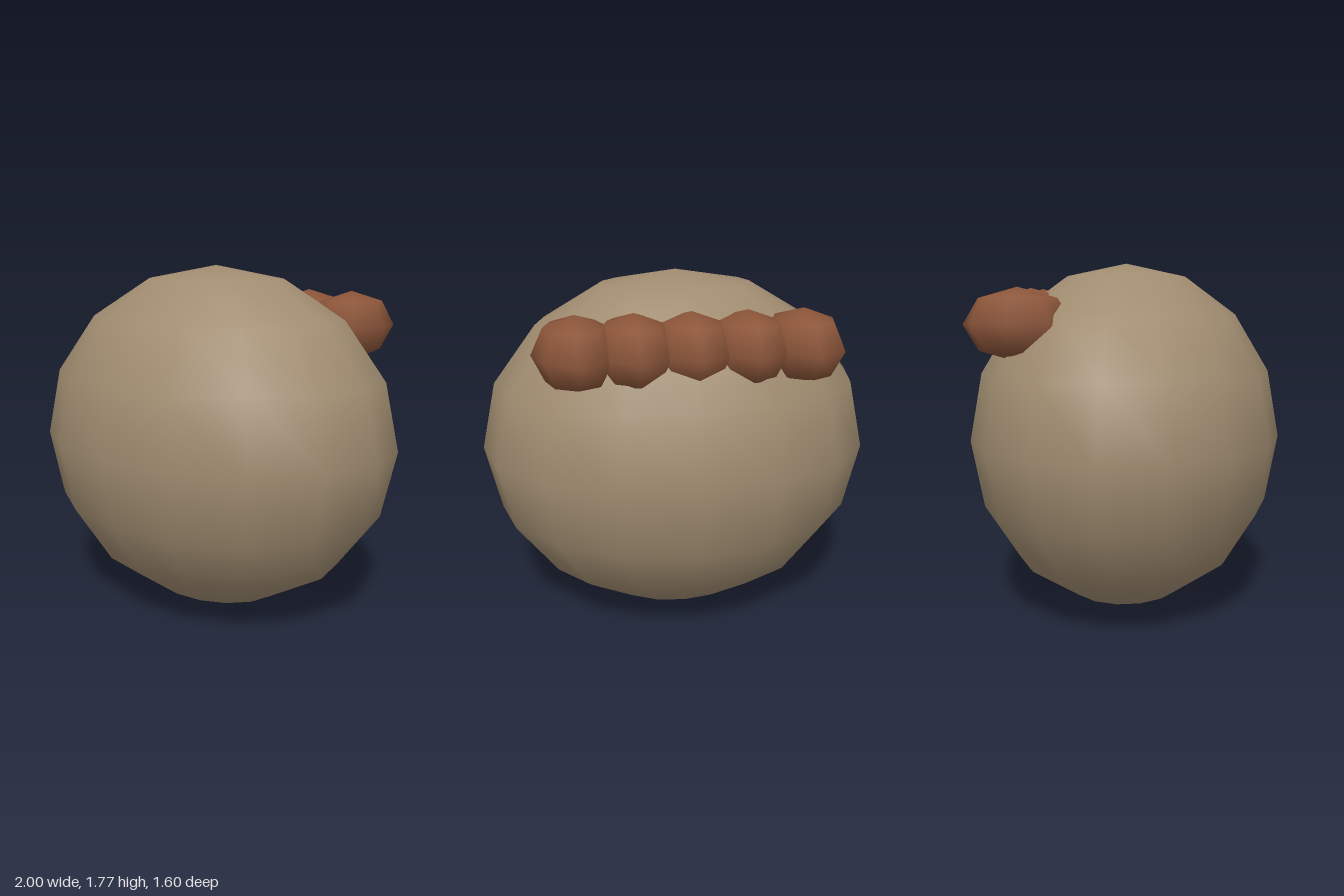
import * as THREE from 'three';

export function createModel() {
  const group = new THREE.Group();
  const tan = new THREE.MeshStandardMaterial({ color: 0xa08c70 });
  tan.name = 'tan';
  const brown = new THREE.MeshStandardMaterial({ color: 0x8b5539 });
  brown.name = 'brown';

  // Ellipsoid from a unit sphere; the scale is baked in so normals stay right
  function ellipsoid(name, material, radii, position, segments) {
    const geometry = new THREE.SphereGeometry(1, segments, segments / 2);
    geometry.scale(...radii);
    const mesh = new THREE.Mesh(geometry, material);
    mesh.name = name;
    mesh.position.set(...position);
    group.add(mesh);
  }

  // Large rounded body
  ellipsoid('body', tan, [1, 0.887, 0.798], [0, 0.887, 0], 16);

  // Row of five bumps across the upper back
  for (let i = -2; i <= 2; i++) {
    ellipsoid(`bump${i + 3}`, brown, [0.2, 0.175, 0.268], [i * 0.266, 1.47, -0.443], 8);
  }

  return group;
}
